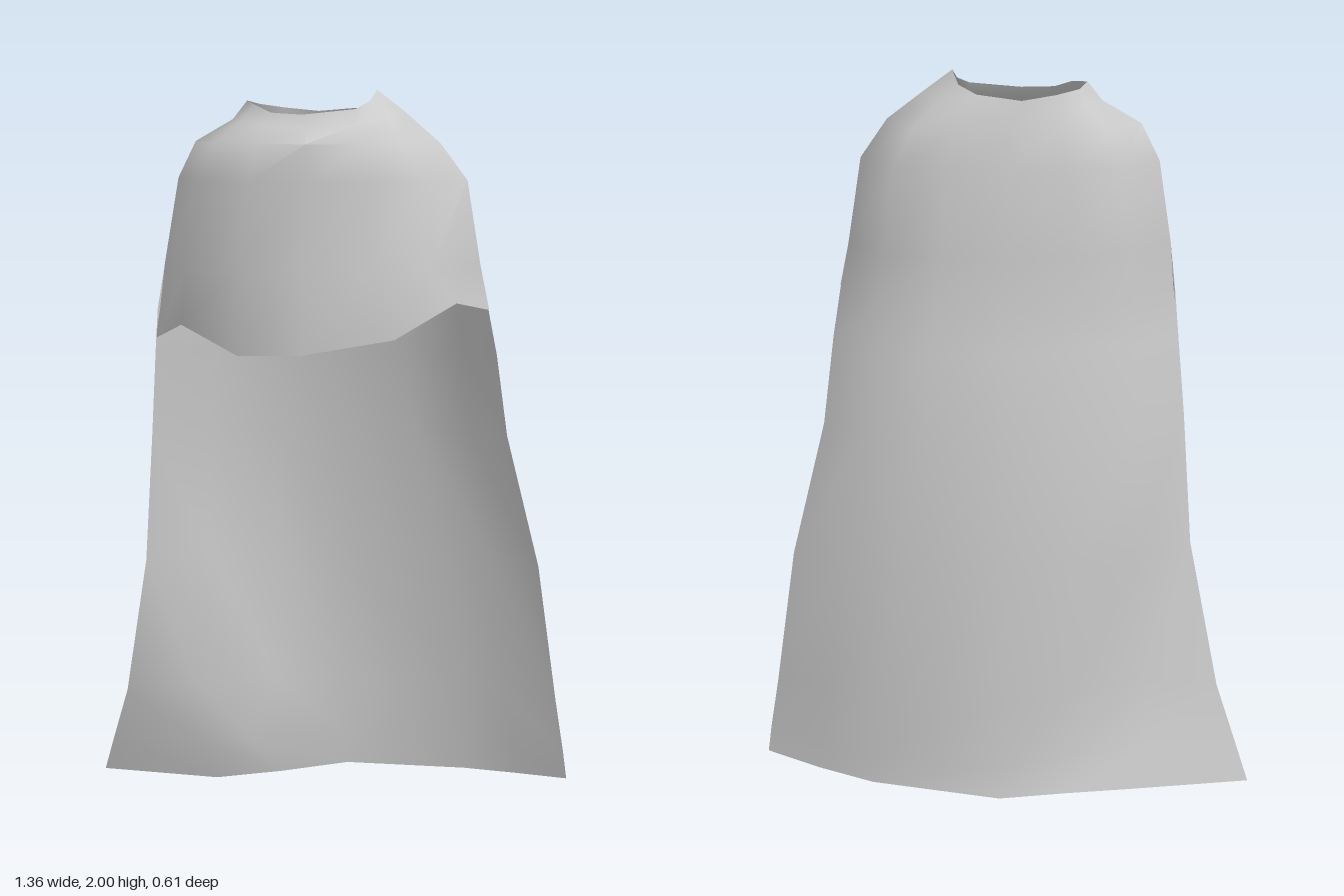
import * as THREE from 'three';
import { mergeGeometries, toCreasedNormals } from 'three/addons/utils/BufferGeometryUtils.js';

const lerp = THREE.MathUtils.lerp;

// Skin a list of equally long point rows
function sheet(rows) {
  const n = rows[0].length, index = [];
  for (let r = 0; r < rows.length - 1; r++) {
    for (let c = 0; c < n - 1; c++) {
      const a = r * n + c, b = a + n;
      index.push(a, b, a + 1, a + 1, b, b + 1);
    }
  }
  const g = new THREE.BufferGeometry();
  g.setAttribute('position', new THREE.Float32BufferAttribute(rows.flat(2), 3));
  g.setIndex(index);
  return g;
}

// One cross-section from the +x edge to the -x edge
function section({ y, xL, xR, zL, zR, z }, across, depth) {
  return across.map((t, i) => {
    const edge = t > 0 ? zL : zR;
    return [t > 0 ? t * xL : t * xR, y, lerp(edge, z, depth[i])];
  });
}

export function createModel() {
  const group = new THREE.Group();
  const material = new THREE.MeshStandardMaterial({ color: 0xcccccc, side: THREE.DoubleSide });

  // Shoulder levels: half widths, side z, front z and back z
  const shoulders = [
    { y: 1.86, xL: 0.33, xR: 0.355, zL: 0.05, zR: 0, front: 0.24, z: -0.17 },
    { y: 1.76, xL: 0.4, xR: 0.405, zL: 0.02, zR: 0, front: 0.24, z: -0.19 },
    { y: 1.53, xL: 0.435, xR: 0.44, zL: 0, zR: 0.02, front: 0.3, z: -0.21 },
  ];
  // Cape levels below the shoulders, flaring towards the hem
  const drape = [
    { y: 1.4, xL: 0.46, xR: 0.455, zL: 0, zR: 0.05, z: -0.215, flare: 0 },
    { y: 1.28, xL: 0.475, xR: 0.465, zL: -0.06, zR: 0.04, z: -0.235, flare: 0.1 },
    { y: 1.05, xL: 0.5, xR: 0.485, zL: -0.11, zR: 0.01, z: -0.265, flare: 0.3 },
    { y: 0.68, xL: 0.59, xR: 0.51, zL: -0.13, zR: 0, z: -0.29, flare: 0.6 },
  ];

  // Back cape: neckline, collar, shoulders and drape
  const across = [1, 0.75, 0.4, 0, -0.4, -0.75, -1];
  const depth = [0, 0.78, 0.93, 1, 0.83, 0.62, 0];
  const hemAcross = [1, 0.77, 0.55, 0, -0.3, -0.68, -1];
  const hemDepth = [0, 0.45, 0.75, 1, 0.82, 0.52, 0];
  const back = [
    [[0.15, 2, 0], [0.13, 1.97, -0.07], [0.08, 1.95, -0.11], [-0.04, 1.94, -0.15],
      [-0.13, 1.95, -0.11], [-0.19, 1.96, -0.07], [-0.21, 1.97, 0]],
    [[0.23, 1.94, 0.01], [0.18, 1.93, -0.08], [0.1, 1.925, -0.125], [-0.03, 1.915, -0.155],
      [-0.14, 1.92, -0.12], [-0.21, 1.92, -0.08], [-0.25, 1.92, 0]],
  ];
  for (const level of [...shoulders, ...drape]) {
    const f = level.flare ?? 0;
    back.push(section(level, across.map((t, i) => lerp(t, hemAcross[i], f)),
      depth.map((d, i) => lerp(d, hemDepth[i], f))));
  }
  // Skirt with a slanting pleat and a ridge beside it
  back.push([[0.645, 0.3, -0.12], [0.49, 0.3, -0.2], [0.36, 0.3, -0.255], [0.01, 0.3, -0.3],
    [-0.18, 0.3, -0.21], [-0.39, 0.3, -0.09], [-0.59, 0.28, -0.07]]);
  back.push([[0.67, 0.15, -0.11], [0.52, 0.14, -0.185], [0.37, 0.13, -0.25], [0.01, 0.12, -0.3],
    [-0.25, 0.12, -0.18], [-0.39, 0.12, -0.13], [-0.645, 0.12, -0.11]]);
  back.push([[0.68, 0.075, -0.11], [0.53, 0.06, -0.185], [0.37, 0.047, -0.25], [0.015, 0.028, -0.305],
    [-0.17, 0.012, -0.23], [-0.35, 0, -0.17], [-0.68, 0.018, -0.14]]);

  // Front mantle: same shoulders, ending in a short uneven hem
  const frontDepth = [0, 0.66, 0.87, 1, 0.87, 0.69, 0];
  const front = [
    [[0.15, 2, 0], [0.14, 1.97, 0.06], [0.11, 1.95, 0.11], [-0.03, 1.935, 0.135],
      [-0.12, 1.94, 0.115], [-0.17, 1.96, 0.08], [-0.21, 1.97, 0]],
    [[0.23, 1.94, 0.01], [0.2, 1.93, 0.09], [0.12, 1.91, 0.135], [-0.01, 1.9, 0.15],
      [-0.13, 1.905, 0.14], [-0.21, 1.915, 0.09], [-0.25, 1.92, 0]],
  ];
  for (const level of shoulders) {
    front.push(section({ ...level, z: level.front }, across, frontDepth));
  }
  front.push([[0.46, 1.41, 0], [0.39, 1.44, 0.14], [0.24, 1.35, 0.245], [0, 1.31, 0.305],
    [-0.18, 1.3, 0.26], [-0.36, 1.37, 0.16], [-0.46, 1.32, 0.05]]);

  const cloth = mergeGeometries([sheet(back), sheet(front.map((row) => [...row].reverse()))]);
  const cape = new THREE.Mesh(toCreasedNormals(cloth, 1.1), material);
  cape.name = 'capeWithMantle';
  group.add(cape);
  return group;
}
